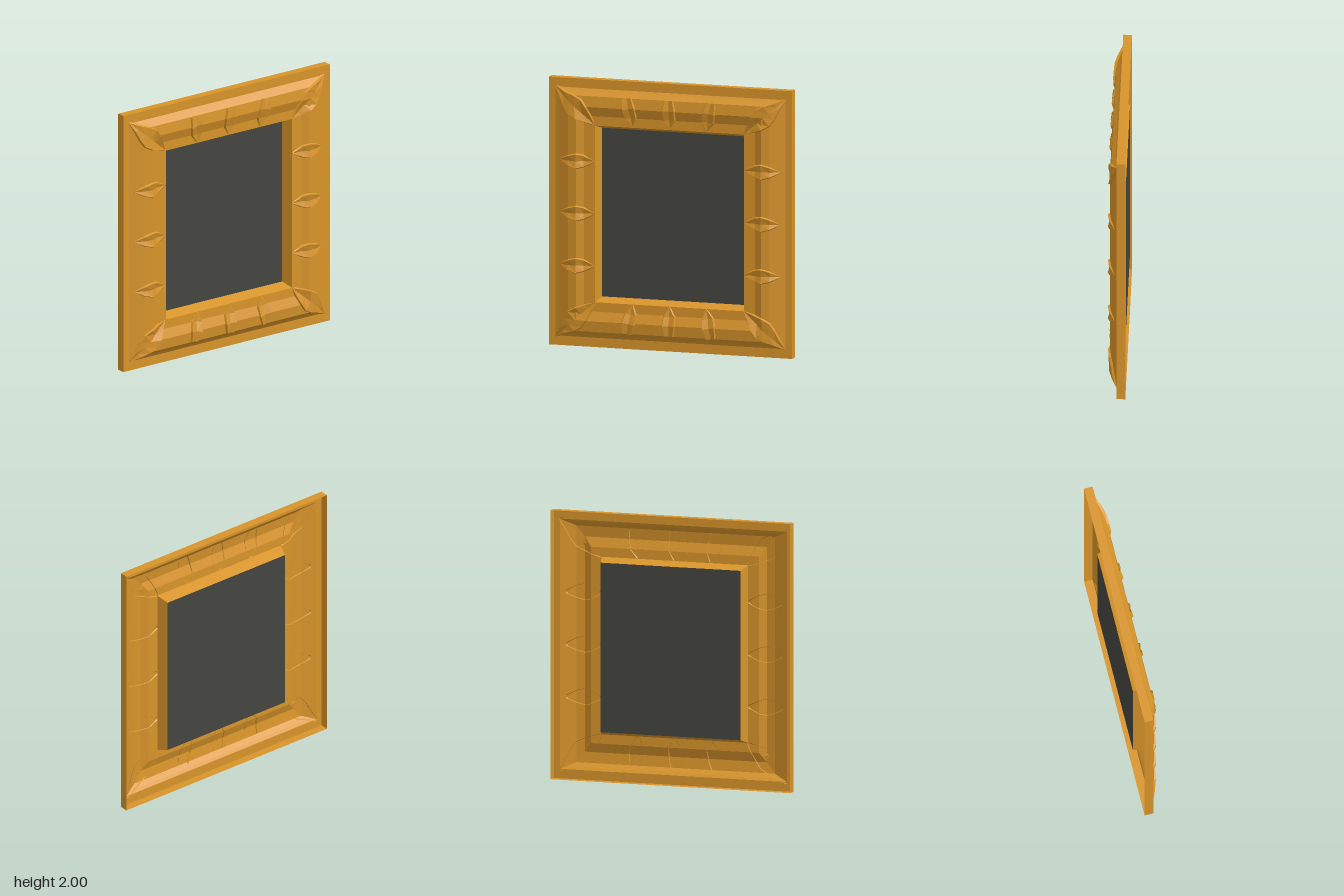
import * as THREE from 'three';

// Nested rectangles of the moulding, outside to inside: [half width, half height, z]
const RINGS = [
  [0.94, 1.0, -0.065],
  [0.94, 1.0, 0],
  [0.89, 0.93, 0],
  [0.85, 0.91, 0.015],
  [0.78, 0.88, 0.043],
  [0.715, 0.80, 0.053],
  [0.66, 0.73, 0.028],
  [0.575, 0.66, 0.028],
  [0.55, 0.63, -0.06],
];
const CY = 1; // height of the frame's centre

// Position of a coordinate among the rings (fractional index)
function ringAt(v, axis) {
  const a = Math.abs(v);
  for (let i = 1; i < RINGS.length - 1; i++) {
    const p = RINGS[i][axis], q = RINGS[i + 1][axis];
    if (a >= q) return i + Math.min(1, Math.max(0, (p - a) / (p - q)));
  }
  return RINGS.length - 1;
}

// Height of the mitred moulding at a point of the front
function surfaceZ(x, y) {
  const s = Math.min(ringAt(x, 0), ringAt(y, 1), 7);
  const i = Math.floor(s);
  if (i >= 7) return RINGS[7][2];
  return THREE.MathUtils.lerp(RINGS[i][2], RINGS[i + 1][2], s - i);
}

// Skin through rows of points
function loft(rows, closed) {
  const n = rows[0].length, index = [];
  for (let r = 0; r < rows.length - 1; r++) {
    for (let c = 0; c < (closed ? n : n - 1); c++) {
      const d = (c + 1) % n;
      const a = r * n + c, b = r * n + d, e = a + n, f = b + n;
      index.push(a, b, f, a, f, e);
    }
  }
  const geo = new THREE.BufferGeometry();
  geo.setAttribute('position', new THREE.Float32BufferAttribute(rows.flat(2), 3));
  geo.setIndex(index);
  geo.computeVertexNormals();
  return geo;
}

// Creased leaf laid on the moulding, from an outer point to an inner point.
// stations: [fraction along, half width]
function leafGeometry(from, to, stations) {
  const dir = new THREE.Vector2(to[0] - from[0], to[1] - from[1]);
  const side = new THREE.Vector2(dir.y, -dir.x).normalize();
  const rows = stations.map(([t, w]) => {
    // foot, rim, crease, rim, foot
    const section = [[-w - 0.01, -0.006], [-w, 0.016], [0, 0.004], [w, 0.016], [w + 0.01, -0.006]];
    const fade = Math.min(1, w / 0.025);
    return section.map(([u, lift]) => {
      const x = from[0] + dir.x * t + side.x * u;
      const y = from[1] + dir.y * t + side.y * u;
      return [x, y + CY, surfaceZ(x, y) + (lift > 0 ? lift * fade : lift)];
    });
  });
  return loft(rows, false);
}

export function createModel() {
  const group = new THREE.Group();
  const gold = new THREE.MeshStandardMaterial({ color: 0xd8942a, flatShading: true, side: THREE.DoubleSide });
  const dark = new THREE.MeshStandardMaterial({ color: 0x444440, flatShading: true, side: THREE.DoubleSide });
  const add = (name, geo, mat) => {
    const mesh = new THREE.Mesh(geo, mat);
    mesh.name = name;
    group.add(mesh);
    return mesh;
  };

  // Hollow moulding, open at the back
  const rows = RINGS.map(([a, b, z]) => [[-a, CY - b, z], [a, CY - b, z], [a, CY + b, z], [-a, CY + b, z]]);
  add('frameMoulding', loft(rows, true), gold);

  // Backing panel
  add('picturePanel', new THREE.PlaneGeometry(1.1, 1.26), dark).position.set(0, CY, -0.06);

  // Leaves across the top and bottom rails
  const railLeaf = [[0, 0.03], [0.36, 0.045], [0.68, 0.04], [1, 0.002]];
  for (const s of [1, -1]) {
    for (const k of [-1, 0, 1]) {
      add(s > 0 ? 'topLeaf' : 'bottomLeaf',
        leafGeometry([k * 0.325, s * 0.88], [k * 0.285, s * 0.665], railLeaf), gold);
    }
  }

  // Leaves across the side rails
  const sideLeaf = [[0, 0.002], [0.26, 0.035], [0.5, 0.052], [0.7, 0.04], [1, 0.002]];
  for (const s of [1, -1]) {
    for (const k of [-1, 0, 1]) {
      add(s > 0 ? 'leftLeaf' : 'rightLeaf',
        leafGeometry([s * 0.85, k * 0.39], [s * 0.58, k * 0.39], sideLeaf), gold);
    }
  }

  // Long leaves over the mitred corners
  const cornerLeaf = [[0, 0.002], [0.2, 0.028], [0.38, 0.06], [0.52, 0.075], [0.68, 0.06], [0.85, 0.03], [1, 0.002]];
  for (const sx of [1, -1]) {
    for (const sy of [1, -1]) {
      add('cornerLeaf', leafGeometry([sx * 0.89, sy * 0.935], [sx * 0.58, sy * 0.665], cornerLeaf), gold);
    }
  }
  return group;
}
